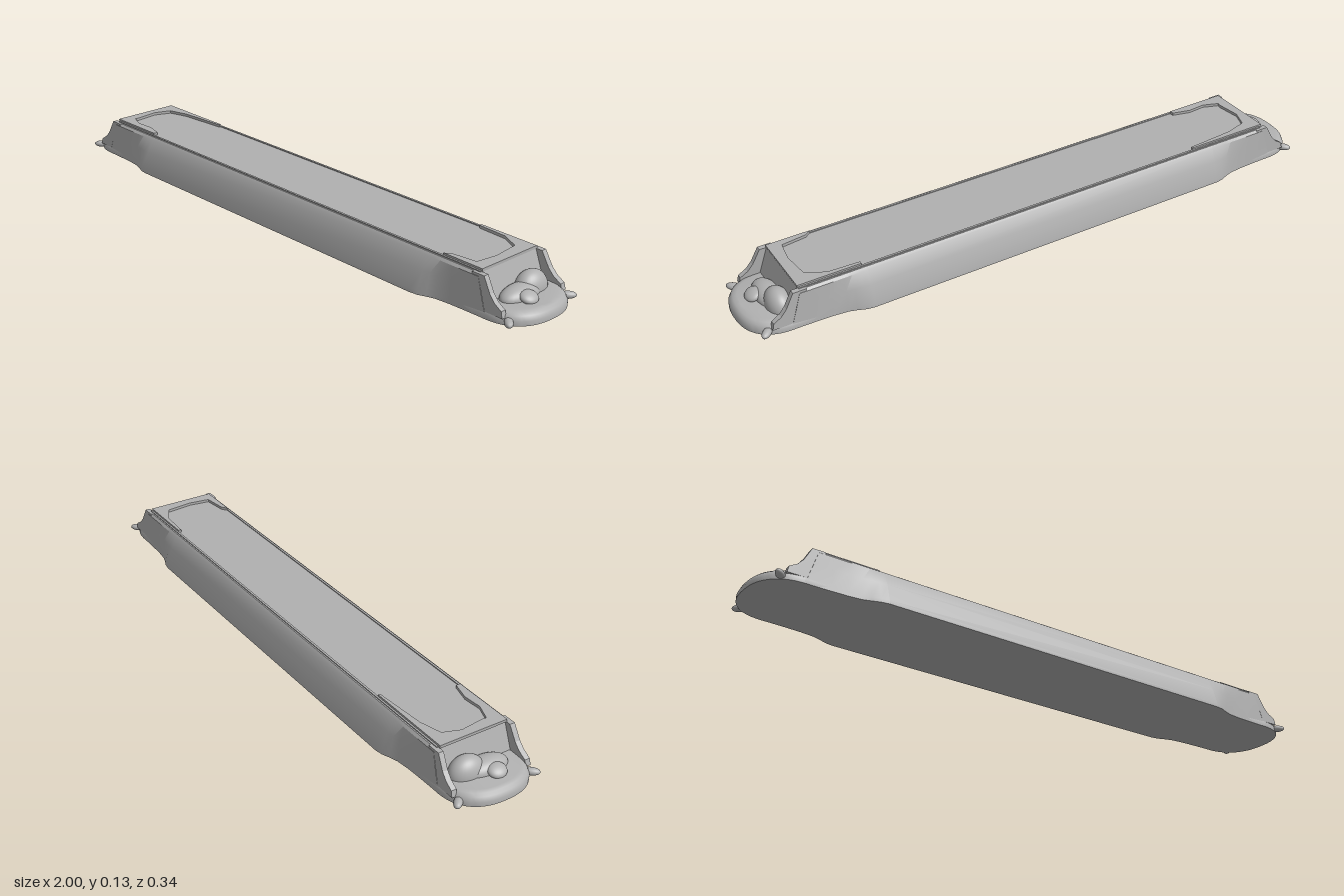
import * as THREE from 'three';
import { toCreasedNormals } from 'three/addons/utils/BufferGeometryUtils.js';

const grey = new THREE.MeshStandardMaterial({ color: 0xb0b0b0 });
grey.name = 'plain grey';

function add(group, name, geometry) {
  const mesh = new THREE.Mesh(geometry, grey);
  mesh.name = name;
  group.add(mesh);
  return mesh;
}

// Skin over a stack of closed rings of [x, y, z], with both ends capped
function loft(rings, crease = 0.5) {
  const n = rings[0].length, last = (rings.length - 1) * n, index = [];
  for (let i = 0; i < rings.length - 1; i++) {
    for (let j = 0; j < n; j++) {
      const k = (j + 1) % n, a = i * n + j, b = a + n, c = (i + 1) * n + k, d = i * n + k;
      index.push(a, b, c, a, c, d);
    }
  }
  for (let j = 1; j < n - 1; j++) {
    index.push(0, j, j + 1, last, last + j + 1, last + j);
  }
  const g = new THREE.BufferGeometry();
  g.setAttribute('position', new THREE.Float32BufferAttribute(rings.flat(2), 3));
  g.setIndex(index);
  return toCreasedNormals(g, crease);
}

function polygon(points) {
  return new THREE.Shape(points.map(([x, y]) => new THREE.Vector2(x, y)));
}

// Hull cross-section: flared skirt, leaning sides, flat deck; slant tilts the end wall
function section(x, skirt, waist, slant = 0) {
  const side = [[skirt, 0], [skirt - 0.001, 0.012], [waist, 0.07], [0.132, 0.112], [0.125, 0.12]];
  const ring = [...side, ...side.map(([z, y]) => [-z, y]).reverse()];
  return ring.map(([z, y]) => [x - slant * y / 0.12, y, z]);
}

// Rounded plan outline of the low base that pokes out at both ends
function baseRing(y, inset) {
  const ring = [], steps = 64, p = 2 / 2.4;
  for (let i = 0; i < steps; i++) {
    const t = (i + 0.5) / steps * Math.PI * 2, c = Math.cos(t), s = Math.sin(t);
    ring.push([
      Math.sign(c) * (0.87 + (0.13 - inset) * Math.abs(c) ** p), y,
      Math.sign(s) * (0.139 - inset) * Math.abs(s) ** p,
    ]);
  }
  // stretch so the outermost points sit exactly on the ends
  const reach = Math.max(...ring.map(q => q[0]));
  return ring.map(([x, yy, z]) => [x * (1 - inset) / reach, yy, z]);
}

export function createModel() {
  const model = new THREE.Group();
  model.name = 'longHull';

  // Main hull, narrowing behind each end
  const half = [
    [0.63, 0.169, 0.150], [0.655, 0.165, 0.149], [0.68, 0.155, 0.146],
    [0.705, 0.147, 0.141], [0.75, 0.142, 0.136], [0.80, 0.14, 0.135],
  ];
  const rings = [
    section(-0.88, 0.138, 0.135, -0.04),
    ...half.map(([x, s, w]) => section(-x, s, w)).reverse(),
    ...half.map(([x, s, w]) => section(x, s, w)),
    section(0.88, 0.138, 0.135, 0.04),
  ];
  add(model, 'hull', loft(rings));

  // Low rounded base
  add(model, 'base', loft([
    baseRing(0, 0), baseRing(0.014, 0), baseRing(0.027, 0.006),
    baseRing(0.034, 0.014), baseRing(0.037, 0.026),
  ], 0.7));

  // Thin rails along both deck edges
  for (const s of [-1, 1]) {
    const rail = add(model, 'deckRail', new THREE.BoxGeometry(1.68, 0.004, 0.007));
    rail.position.set(0, 0.121, s * 0.117);
  }

  // Fittings at each end
  for (const e of [-1, 1]) {
    const end = new THREE.Group();
    end.name = e > 0 ? 'leftEnd' : 'rightEnd';
    model.add(end);

    // Sloping cheeks either side of the end recess
    const cheekShape = polygon([
      [0.82, 0.02], [0.935, 0.02], [0.93, 0.04], [0.905, 0.055],
      [0.887, 0.075], [0.862, 0.12], [0.82, 0.12],
    ].map(([x, y]) => [e * x, y]));
    for (const s of [-1, 1]) {
      const g = new THREE.ExtrudeGeometry(cheekShape, { depth: 0.017, bevelEnabled: false });
      g.translate(0, 0, s > 0 ? 0.114 : -0.131);
      // lean the cheeks outwards towards the base
      const p = g.attributes.position;
      for (let i = 0; i < p.count; i++) {
        p.setZ(i, p.getZ(i) + s * 0.006 * (1 - p.getY(i) / 0.12));
      }
      g.computeVertexNormals();
      add(end, 'cheek', g);
    }

    // Soft mound against the end wall, with a small pod in front
    const mound = add(end, 'mound', new THREE.SphereGeometry(1, 28, 16, 0, Math.PI * 2, 0, Math.PI / 2));
    mound.scale.set(0.04, 0.053, 0.058);
    mound.position.set(e * 0.88, 0.036, -0.048);
    const shoulder = add(end, 'moundShoulder', new THREE.SphereGeometry(1, 28, 16, 0, Math.PI * 2, 0, Math.PI / 2));
    shoulder.scale.set(0.04, 0.032, 0.075);
    shoulder.position.set(e * 0.89, 0.036, 0.01);
    const pod = add(end, 'pod', new THREE.SphereGeometry(1, 24, 16));
    pod.scale.set(0.026, 0.014, 0.03);
    pod.position.set(e * 0.93, 0.046, 0.02);
    pod.rotation.z = -e * 0.4;

    // Knobs on the corners of the base
    for (const s of [-1, 1]) {
      const knob = add(end, 'cornerKnob', new THREE.SphereGeometry(1, 16, 12));
      knob.scale.set(0.026, 0.011, 0.013);
      knob.position.set(e * 0.95, 0.012, s * 0.126);
      knob.rotation.y = -e * s * 0.8;
    }
  }

  // Thin raised patches around the deck ends
  const patches = [
    [[-0.848, -0.115], [-0.82, -0.115], [-0.81, -0.06], [-0.82, 0.02], [-0.8, 0.075],
      [-0.73, 0.095], [-0.56, 0.108], [-0.56, 0.115], [-0.848, 0.115]],
    [[-0.83, -0.115], [-0.64, -0.115], [-0.64, -0.1], [-0.7, -0.085], [-0.76, -0.09], [-0.815, -0.07]],
    [[0.64, 0.105], [0.74, 0.1], [0.8, 0.07], [0.81, -0.02], [0.8, -0.09],
      [0.72, -0.1], [0.7, -0.115], [0.842, -0.115], [0.842, 0.115], [0.64, 0.115]],
  ];
  for (const points of patches) {
    const g = new THREE.ExtrudeGeometry(polygon(points), { depth: 0.009, bevelEnabled: false });
    g.rotateX(-Math.PI / 2);
    add(model, 'deckPatch', g).position.y = 0.12;
  }

  return model;
}
